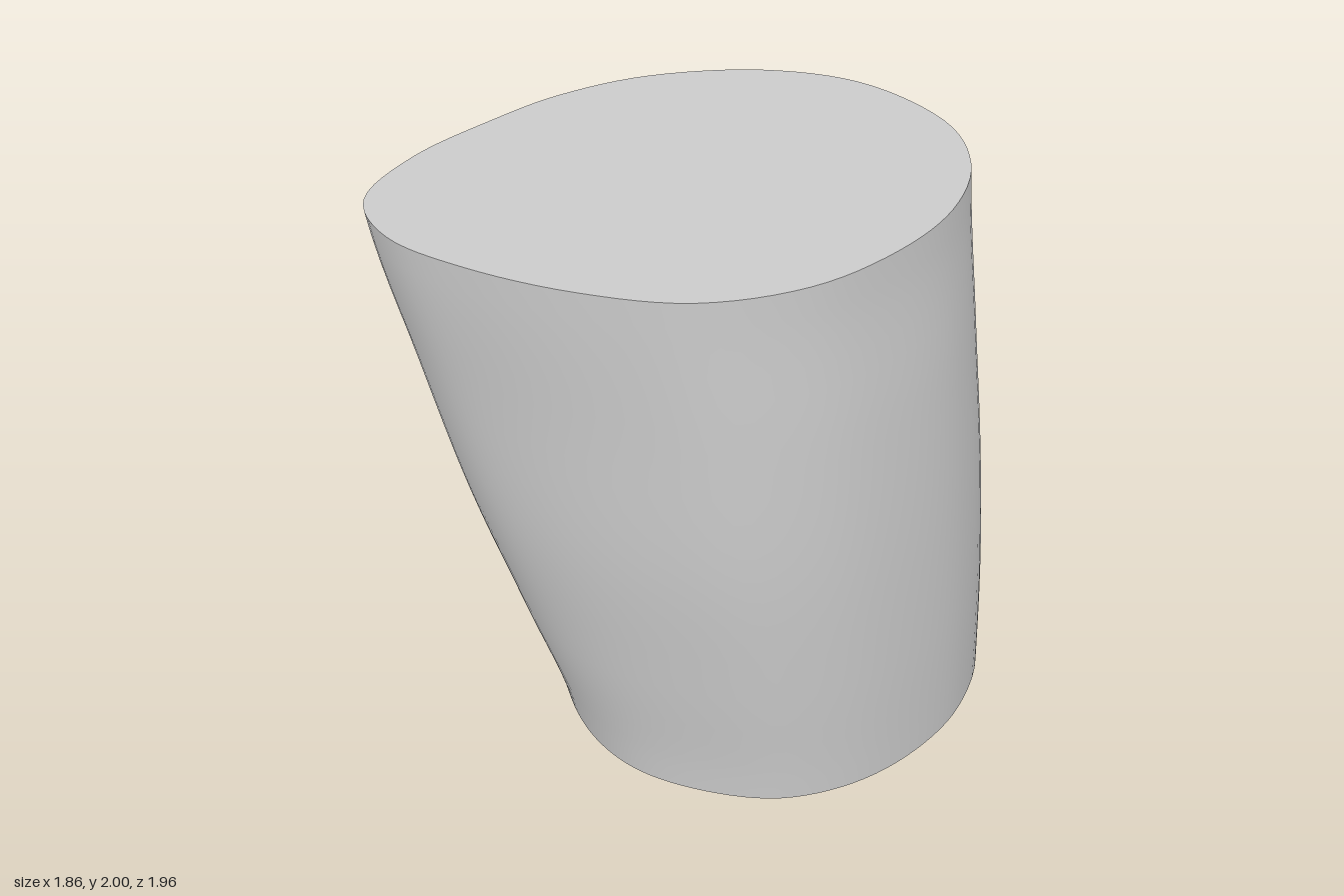
import * as THREE from 'three';

const SIDES = 96, LEVELS = 24;

// Base and rim outlines as [x, z], counterclockwise seen from above
const BASE = [[0.925, -0.2], [0.84, -0.53], [0.6, -0.725], [0.25, -0.795], [-0.08, -0.69], [-0.35, -0.47],
  [-0.51, -0.2], [-0.55, 0.08], [-0.48, 0.36], [-0.33, 0.53], [-0.12, 0.66], [0.1, 0.71],
  [0.36, 0.67], [0.6, 0.56], [0.78, 0.36], [0.89, 0.1]];
const RIM = [[0.765, -0.13], [0.66, -0.49], [0.42, -0.79], [-0.02, -0.975], [-0.38, -0.9], [-0.71, -0.62],
  [-0.87, -0.28], [-0.92, 0.05], [-0.93, 0.43], [-0.83, 0.77], [-0.58, 0.94], [-0.26, 0.975],
  [0.12, 0.93], [0.43, 0.81], [0.65, 0.56], [0.755, 0.22]];

// Extents at evenly spaced heights from y = 0 to y = 2
const EXTENTS = {
  xMin: [-0.55, -0.655, -0.76, -0.85, -0.93], xMax: [0.925, 0.915, 0.885, 0.835, 0.77],
  zMin: [-0.795, -0.835, -0.87, -0.9, -0.98], zMax: [0.71, 0.795, 0.88, 0.93, 0.98],
};

function sampleOutline(points) {
  const curve = new THREE.CatmullRomCurve3(points.map(([x, z]) => new THREE.Vector3(x, 0, z)), true, 'centripetal');
  return Array.from({ length: SIDES }, (_, i) => curve.getPoint(i / SIDES));
}

function sampleExtent(values, t) {
  return new THREE.SplineCurve(values.map((v, i) => new THREE.Vector2(i, v))).getPoint(t).y;
}

// Blend the two outlines and fit the result to the extents at that height
function makeRing(base, rim, t) {
  const ring = base.map((p, i) => p.clone().lerp(rim[i], t));
  for (const axis of ['x', 'z']) {
    const values = ring.map((p) => p[axis]);
    const lo = Math.min(...values), hi = Math.max(...values);
    const min = sampleExtent(EXTENTS[axis + 'Min'], t), max = sampleExtent(EXTENTS[axis + 'Max'], t);
    ring.forEach((p) => { p[axis] = THREE.MathUtils.mapLinear(p[axis], lo, hi, min, max); });
  }
  ring.forEach((p) => { p.y = 2 * t; });
  return ring;
}

function loft(rings) {
  const index = [];
  for (let j = 0; j < rings.length - 1; j++) {
    for (let i = 0; i < SIDES; i++) {
      const a = j * SIDES + i, b = j * SIDES + (i + 1) % SIDES;
      index.push(a, b, b + SIDES, a, b + SIDES, a + SIDES);
    }
  }
  const geometry = new THREE.BufferGeometry().setFromPoints(rings.flat());
  geometry.setIndex(index);
  geometry.computeVertexNormals();
  return geometry;
}

// Flat end cap: facing is 1 for up, -1 for down
function cap(ring, facing) {
  const shape = new THREE.Shape(ring.map((p) => new THREE.Vector2(p.x, -facing * p.z)));
  return new THREE.ShapeGeometry(shape).rotateX(-facing * Math.PI / 2).translate(0, ring[0].y, 0);
}

export function createModel() {
  const group = new THREE.Group();
  group.name = 'taperedStump';
  const material = new THREE.MeshStandardMaterial({ color: 0xcccccc });
  const add = (name, geometry) => {
    const mesh = new THREE.Mesh(geometry, material);
    mesh.name = name;
    group.add(mesh);
  };

  const base = sampleOutline(BASE), rim = sampleOutline(RIM);
  const rings = Array.from({ length: LEVELS + 1 }, (_, j) => makeRing(base, rim, j / LEVELS));

  // Smooth side wall with crisp flat ends
  add('sideWall', loft(rings));
  add('topFace', cap(rings[LEVELS], 1));
  add('bottomFace', cap(rings[0], -1));
  return group;
}
